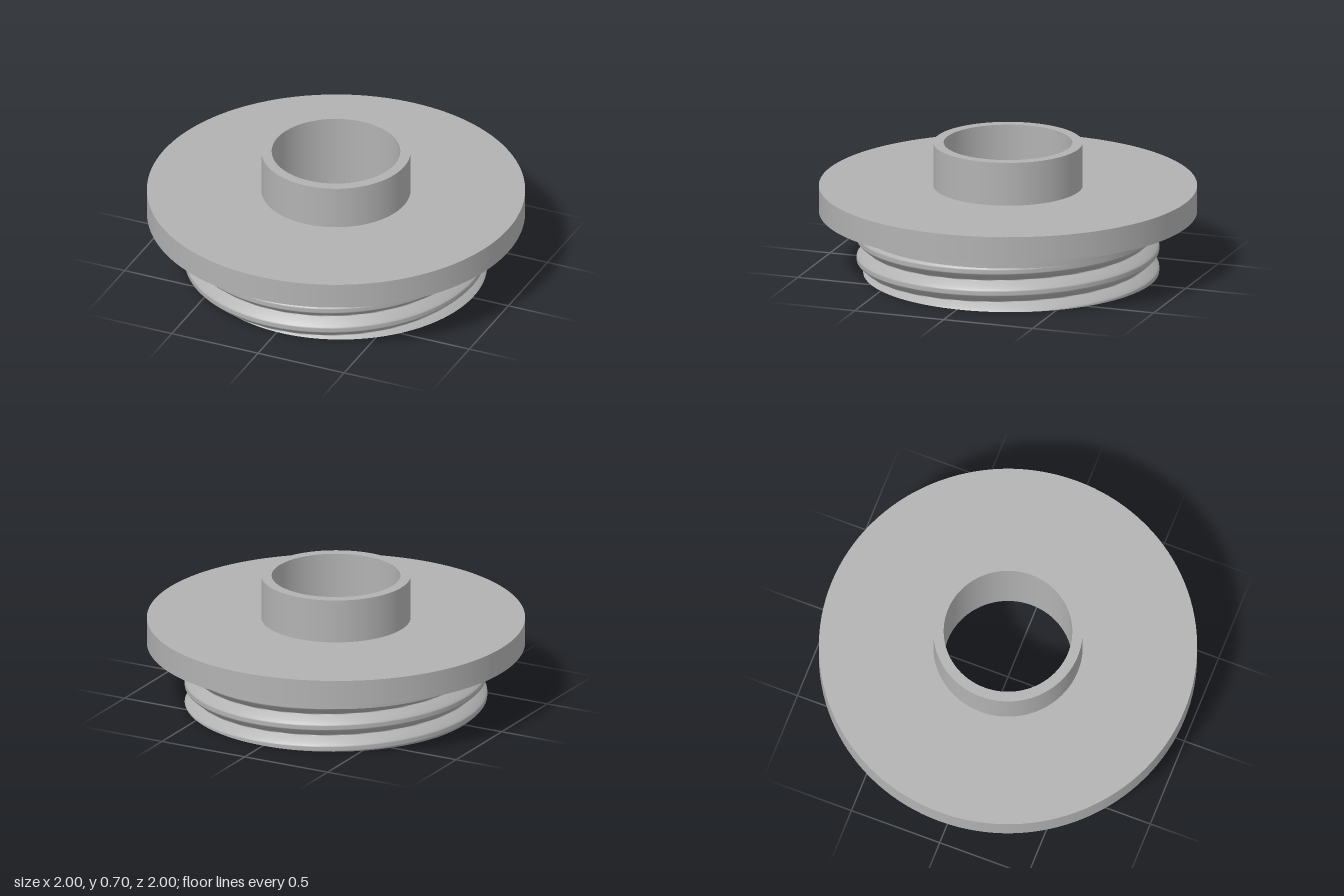
import * as THREE from 'three';
import { mergeGeometries } from 'three/addons/utils/BufferGeometryUtils.js';

const SEGMENTS = 128;
const CREST = 0.8, DEPTH = 0.055, PITCH = 0.118, VALLEY_Y = 0.126, THREAD_TOP = 0.24;

// Radius of the helical thread at a height and angle (angle 0 at +z, growing towards +x)
function threadRadius(y, angle) {
  const turns = (y - VALLEY_Y) / PITCH - angle / (2 * Math.PI);
  const d = Math.abs(turns - Math.round(turns));
  return CREST - DEPTH * Math.pow(Math.max(0, 1 - d / 0.4), 1.25);
}

// One lathe per straight segment, so edges stay sharp while walls stay smooth
function turned(profile) {
  const pieces = [];
  for (let i = 0; i + 1 < profile.length; i++) {
    const pts = [profile[i], profile[i + 1]].map(([r, y]) => new THREE.Vector2(r, y));
    pieces.push(new THREE.LatheGeometry(pts, SEGMENTS));
  }
  return mergeGeometries(pieces);
}

// Lathe whose marked points follow the thread radius
function threaded(points, follows, curved) {
  const geo = new THREE.LatheGeometry(points.map(([r, y]) => new THREE.Vector2(r, y)), SEGMENTS);
  const pos = geo.attributes.position, nor = geo.attributes.normal;
  const n = new THREE.Vector3(), e = 0.002;
  for (let i = 0; i < pos.count; i++) {
    if (!follows(i % points.length)) continue;
    const angle = Math.floor(i / points.length) / SEGMENTS * Math.PI * 2;
    const y = pos.getY(i), r = threadRadius(y, angle);
    pos.setXYZ(i, r * Math.sin(angle), y, r * Math.cos(angle));
    if (curved) {
      const slope = (threadRadius(y + e, angle) - threadRadius(y - e, angle)) / (2 * e);
      n.set(Math.sin(angle), -slope, Math.cos(angle)).normalize();
      nor.setXYZ(i, n.x, n.y, n.z);
    }
  }
  return geo;
}

export function createModel() {
  const grey = new THREE.MeshStandardMaterial({ color: 0xb2b2b2 });
  grey.name = 'grey';
  const group = new THREE.Group();
  group.name = 'threadedAdapter';
  const add = (name, geo) => {
    const mesh = new THREE.Mesh(geo, grey);
    mesh.name = name;
    group.add(mesh);
  };

  // Plain neck, flange and upper spout
  add('neck', turned([[0.8, 0.24], [0.8, 0.33]]));
  add('flange', turned([[0.8, 0.33], [1, 0.33], [1, 0.47], [0.395, 0.47]]));
  add('spout', turned([[0.395, 0.47], [0.395, 0.705], [0.34, 0.705]]));

  // Through bore and the recess under the flange
  add('bore', turned([[0.34, 0.705], [0.34, 0.24]]));
  add('recess', turned([[0.34, 0.24], [0.695, 0.24], [0.695, 0]]));

  // Helical thread with its bottom rim and the shoulder above it
  const rows = 60;
  const wall = Array.from({ length: rows + 1 }, (_, i) => [CREST, THREAD_TOP * i / rows]);
  add('thread', threaded(wall, () => true, true));
  add('bottomRim', threaded([[0.695, 0], [0.8, 0]], k => k === 1, false));
  add('threadShoulder', threaded([[0.74, THREAD_TOP], [0.8, THREAD_TOP]], k => k === 0, false));

  return group;
}
